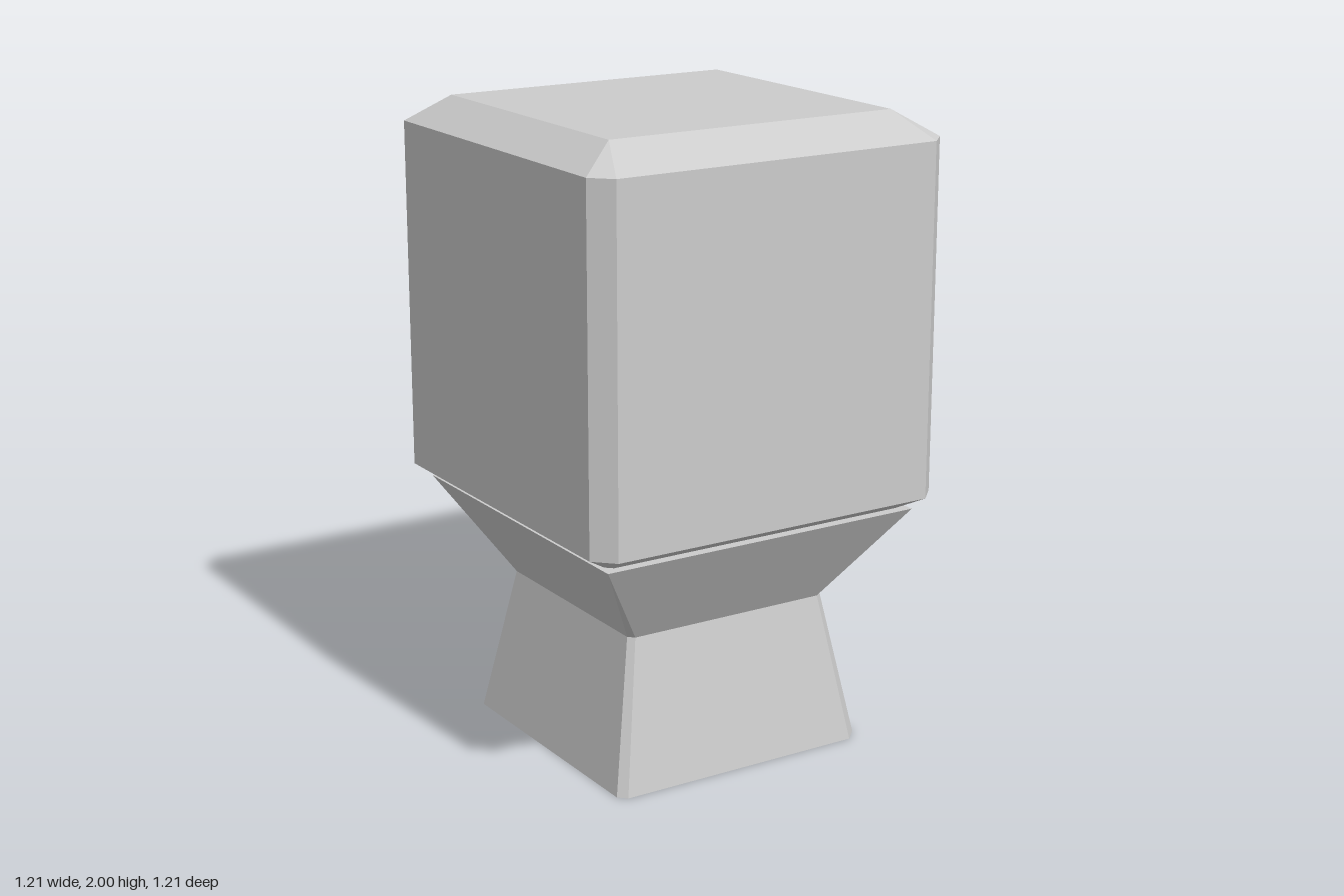
import * as THREE from 'three';

// Rectangle section with cut corners; cuts = [front left, back left, back right, front right]
function section(y, hx, hz, cuts) {
  const signs = [[1, 1], [1, -1], [-1, -1], [-1, 1]];
  return signs.flatMap(([sx, sz], i) => {
    const c = cuts[i];
    const onZ = new THREE.Vector3(sx * (hx - c), y, sz * hz);
    const onX = new THREE.Vector3(sx * hx, y, sz * (hz - c));
    return i % 2 === 0 ? [onZ, onX] : [onX, onZ];
  });
}

// Closed solid skinned through a stack of sections, bottom to top
function loft(name, sections) {
  const pos = [];
  const tri = (a, b, c) => {
    const area = b.clone().sub(a).cross(c.clone().sub(a)).length();
    if (area > 1e-9) for (const p of [a, b, c]) pos.push(p.x, p.y, p.z);
  };
  for (let s = 0; s < sections.length - 1; s++) {
    const lo = sections[s], hi = sections[s + 1], n = lo.length;
    for (let i = 0; i < n; i++) {
      const j = (i + 1) % n;
      tri(lo[i], lo[j], hi[j]);
      tri(lo[i], hi[j], hi[i]);
    }
  }
  const bottom = sections[0], top = sections[sections.length - 1];
  for (let i = 1; i < top.length - 1; i++) {
    tri(bottom[0], bottom[i + 1], bottom[i]);
    tri(top[0], top[i], top[i + 1]);
  }
  const geo = new THREE.BufferGeometry();
  geo.setAttribute('position', new THREE.Float32BufferAttribute(pos, 3));
  geo.computeVertexNormals();
  const mesh = new THREE.Mesh(geo, new THREE.MeshStandardMaterial({ color: 0xcccccc, flatShading: true }));
  mesh.name = name;
  return mesh;
}

export function createModel() {
  const group = new THREE.Group();
  group.name = 'blockOnPedestal';
  const all = (c) => [c, c, c, c];

  // Flared pedestal: tapered foot, narrow waist, wide collar
  group.add(loft('pedestal', [
    section(0, 0.445, 0.445, [0.045, 0.025, 0.025, 0.025]),
    section(0.47, 0.357, 0.357, [0.03, 0.018, 0.018, 0.018]),
    section(0.77, 0.545, 0.545, all(0)),
  ]));

  // Bevelled block resting on the collar
  group.add(loft('block', [
    section(0.745, 0.485, 0.465, all(0)),
    section(0.82, 0.607, 0.607, all(0.06)),
    section(1.92, 0.607, 0.607, all(0.06)),
    section(2, 0.485, 0.465, all(0)),
  ]));

  return group;
}
